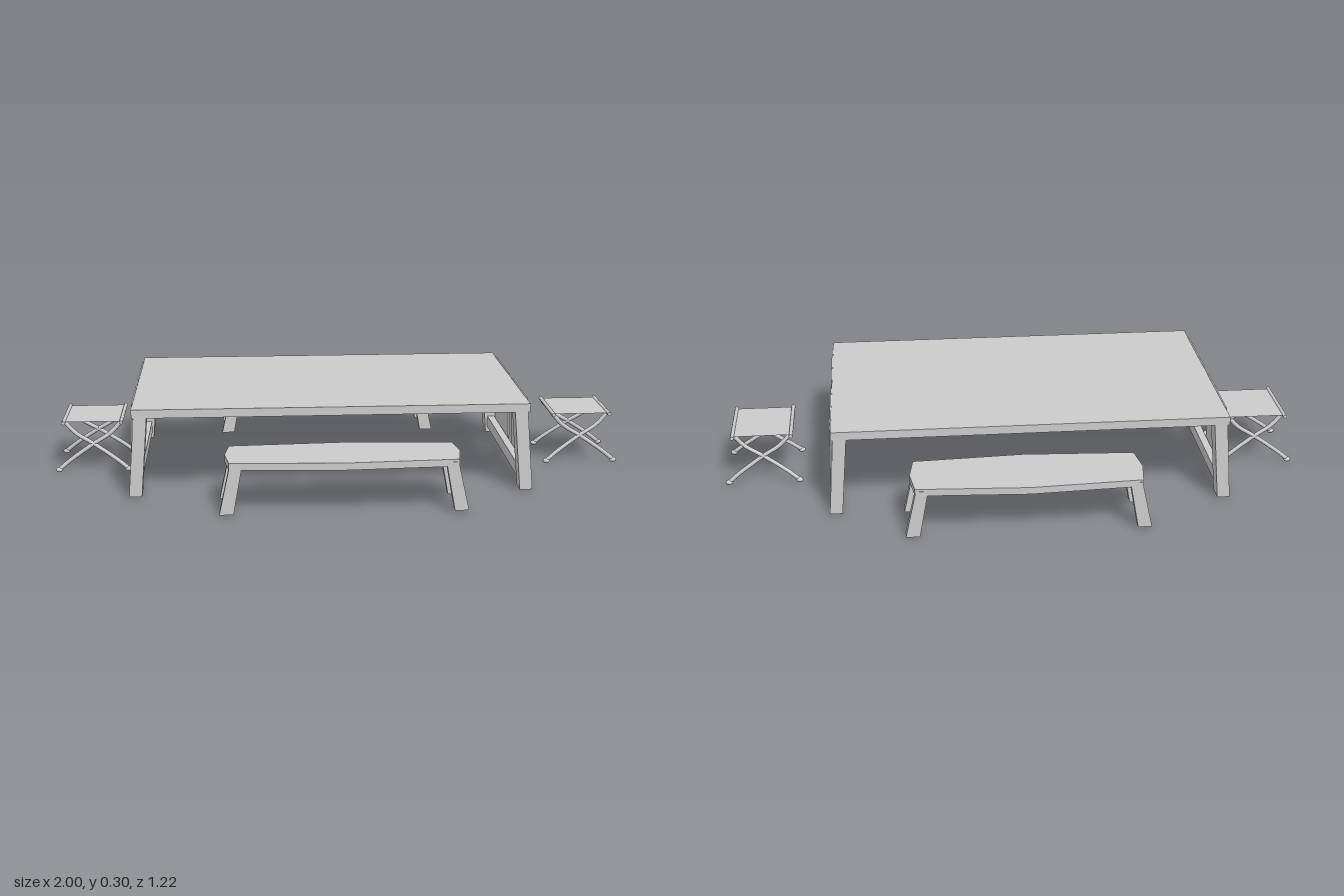
import * as THREE from 'three';

const mat = new THREE.MeshStandardMaterial({ color: 0xcccccc, flatShading: true });
const smooth = new THREE.MeshStandardMaterial({ color: 0xcccccc });
const cloth = new THREE.MeshStandardMaterial({ color: 0xcccccc, side: THREE.DoubleSide });

function add(parent, name, geometry, material = mat) {
  const mesh = new THREE.Mesh(geometry, material);
  mesh.name = name;
  parent.add(mesh);
  return mesh;
}

function box(parent, name, w, h, d, x, y, z) {
  const mesh = add(parent, name, new THREE.BoxGeometry(w, h, d));
  mesh.position.set(x, y, z);
  return mesh;
}

// Box from y0 to y1 whose bottom is shifted and scaled relative to its top
function splayedBox(parent, name, w, d, y0, y1, x, z, dx, dz, grow = 1) {
  const g = new THREE.BoxGeometry(w, y1 - y0, d);
  const p = g.attributes.position;
  for (let i = 0; i < p.count; i++) {
    if (p.getY(i) < 0) p.setXYZ(i, p.getX(i) * grow + dx, p.getY(i), p.getZ(i) * grow + dz);
  }
  g.computeVertexNormals();
  const mesh = add(parent, name, g);
  mesh.position.set(x, (y0 + y1) / 2, z);
  return mesh;
}

function makeTable() {
  const table = new THREE.Group();
  table.name = 'table';
  // Smooth top sheet over five lengthwise planks
  box(table, 'tableTop', 1.33, 0.016, 0.78, 0, 0.295, 0);
  for (let i = -2; i <= 2; i++) box(table, 'topPlank', 1.328, 0.013, 0.148, 0, 0.2805, i * 0.158);

  for (const sx of [-1, 1]) {
    for (const sz of [-1, 1]) {
      splayedBox(table, 'tableLeg', 0.044, 0.062, 0.004, 0.275, sx * 0.636, sz * 0.357, sx * 0.022, sz * 0.007, 0.97);
      // Cloth panel hanging over the end
      splayedBox(table, 'endPanel', 0.005, 0.282, 0.01, 0.305, sx * 0.666, sz * 0.178, sx * 0.008, 0);
    }
    box(table, 'lowerRail', 0.026, 0.042, 0.68, sx * 0.655, 0.046, 0);
  }
  table.position.set(-0.043, 0, -0.015);
  return table;
}

function makeBench() {
  const bench = new THREE.Group();
  bench.name = 'bench';
  // Seat with bowed sides and slightly bowed ends
  const half = [[-0.385, 0], [-0.371, 0.1], [0, 0.12], [0.371, 0.1], [0.385, 0]];
  const outline = [...half, [0.371, -0.1], [0, -0.12], [-0.371, -0.1]];
  const shape = new THREE.Shape(outline.map(([x, z]) => new THREE.Vector2(x, z)));
  const seat = new THREE.ExtrudeGeometry(shape, { depth: 0.024, bevelEnabled: false });
  seat.rotateX(-Math.PI / 2);
  add(bench, 'benchSeat', seat).position.y = 0.156;
  for (const sx of [-1, 1]) for (const sz of [-1, 1]) {
    splayedBox(bench, 'benchLeg', 0.04, 0.032, 0.008, 0.172, sx * 0.348, sz * 0.086, sx * 0.033, 0, 1.15);
  }
  return bench;
}

function makeStool() {
  const stool = new THREE.Group();
  stool.name = 'foldingStool';
  const v = (x, y, z) => new THREE.Vector3(x, y, z);
  for (const sx of [-1, 1]) {
    for (const sz of [-1, 1]) {
      // Curved crossing leg from foot to opposite seat rail
      const curve = new THREE.CatmullRomCurve3([
        v(-sx * 0.122, 0.012, sz * 0.118), v(-sx * 0.085, 0.042, sz * 0.112),
        v(0, 0.1, sz * 0.1), v(sx * 0.06, 0.137, sz * 0.094), v(sx * 0.1, 0.18, sz * 0.09),
      ]);
      add(stool, 'stoolLeg', new THREE.TubeGeometry(curve, 14, 0.0075, 8), smooth);
      const foot = add(stool, 'stoolFoot', new THREE.SphereGeometry(0.011, 10, 6), smooth);
      foot.scale.set(1.2, 0.8, 1);
      foot.position.set(-sx * 0.121, 0.012, sz * 0.118);
    }
    const rail = add(stool, 'seatRail', new THREE.CylinderGeometry(0.007, 0.007, 0.25, 8), smooth);
    rail.rotation.x = Math.PI / 2;
    rail.position.set(sx * 0.1, 0.182, 0);
  }
  // Thin cloth seat
  const seat = add(stool, 'stoolSeat', new THREE.PlaneGeometry(0.2, 0.23), cloth);
  seat.rotation.x = -Math.PI / 2;
  seat.position.y = 0.184;
  stool.position.z = -0.043;
  return stool;
}

export function createModel() {
  const model = new THREE.Group();
  model.name = 'diningSet';
  model.add(makeTable());
  for (const s of [-1, 1]) {
    const bench = makeBench();
    bench.position.set(-0.016, 0, s * 0.492);
    model.add(bench);
    const stool = makeStool();
    stool.position.x = s * 0.866;
    model.add(stool);
  }
  return model;
}
